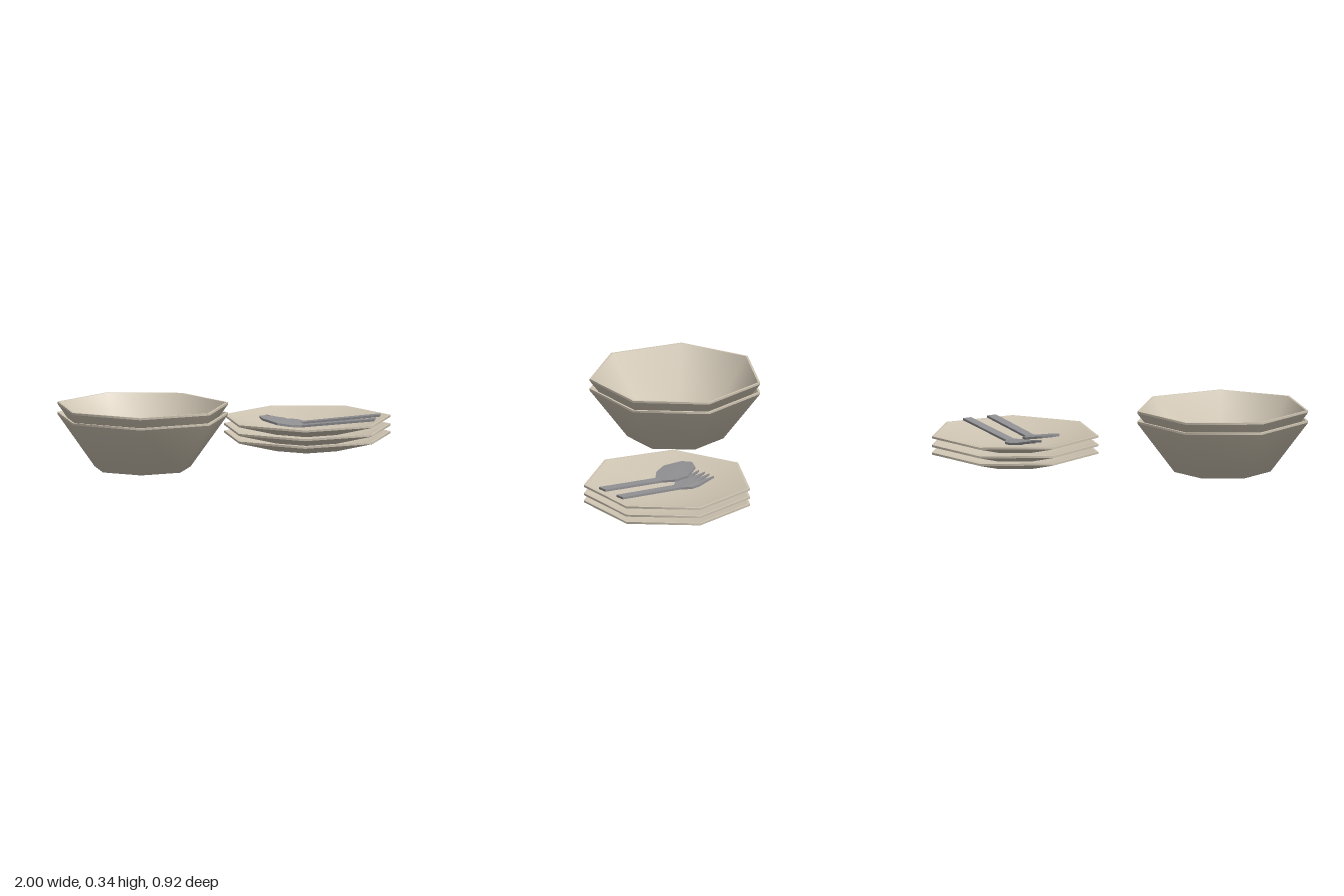
import * as THREE from 'three';

const ceramic = new THREE.MeshStandardMaterial({ color: 0xcfc5b3 });
ceramic.name = 'beige ceramic';
const metal = new THREE.MeshStandardMaterial({ color: 0x919194 });
metal.name = 'grey metal';

// Seven-sided dish, smooth with sharp rim edges (repeated points split the normals)
function dishGeometry(base, rim, height, lip, floor, wall) {
  const profile = [
    [0, 0], [base, 0],
    [rim, height - lip], [rim, height - lip],
    [rim, height], [rim, height],
    [rim - wall, height], [rim - wall, height],
    [base - wall / 2, floor], [0, floor],
  ].map(([r, y]) => new THREE.Vector2(r, y));
  return new THREE.LatheGeometry(profile, 7, -Math.PI / 2);
}

function stack(name, geometry, x, z, levels) {
  const group = new THREE.Group();
  group.name = name + 'Stack';
  levels.forEach((y, i) => {
    const dish = new THREE.Mesh(geometry, ceramic);
    dish.name = name + (i + 1);
    dish.position.set(x, y, z);
    group.add(dish);
  });
  return group;
}

// Height along a utensil, from a few [u, y] stations
function heightAt(stations, u) {
  for (let i = 1; i < stations.length; i++) {
    const [u0, y0] = stations[i - 1], [u1, y1] = stations[i];
    if (u <= u1 || i === stations.length - 1) return y0 + ((y1 - y0) * (u - u0)) / (u1 - u0);
  }
}

// Flat utensil from half an outline (mirrored), bent to follow the stations
function utensil(name, half, stations, x, z, angle) {
  const mirrored = half.filter(([, v]) => v !== 0).reverse().map(([u, v]) => [u, -v]);
  const shape = new THREE.Shape([...half, ...mirrored].map(([u, v]) => new THREE.Vector2(u, v)));
  const geometry = new THREE.ExtrudeGeometry(shape, { depth: 0.012, bevelEnabled: false });
  geometry.rotateX(-Math.PI / 2);
  const pos = geometry.attributes.position;
  for (let i = 0; i < pos.count; i++) {
    pos.setY(i, pos.getY(i) + heightAt(stations, pos.getX(i)));
  }
  geometry.computeVertexNormals();
  const mesh = new THREE.Mesh(geometry, metal);
  mesh.name = name;
  mesh.position.set(x, 0, z);
  mesh.rotation.y = -angle;
  return mesh;
}

export function createModel() {
  const model = new THREE.Group();
  model.name = 'tableware';

  // Two nested bowls and three stacked plates
  const bowl = dishGeometry(0.263, 0.467, 0.285, 0.011, 0.02, 0.012);
  model.add(stack('bowl', bowl, -0.533, 0.003, [0, 0.055]));
  const plate = dishGeometry(0.205, 0.455, 0.075, 0.011, 0.015, 0.012);
  model.add(stack('plate', plate, 0.59, -0.023, [0, 0.041, 0.088]));

  // Spoon
  model.add(utensil('spoon', [
    [-0.113, 0], [-0.087, 0.057], [0, 0.1], [0.07, 0.078], [0.12, 0.027], [0.51, 0.027],
  ], [[-0.113, 0.168], [0, 0.146], [0.12, 0.126], [0.51, 0.169]], 0.435, -0.055, 0.817));

  // Fork with four pointed tines
  model.add(utensil('fork', [
    [-0.12, 0], [-0.215, 0.018], [-0.125, 0.034], [-0.21, 0.06],
    [-0.1, 0.068], [-0.05, 0.066], [0, 0.026], [0.41, 0.026],
  ], [[-0.215, 0.146], [-0.1, 0.126], [0, 0.122], [0.41, 0.17]], 0.605, -0.072, 0.78));

  return model;
}
